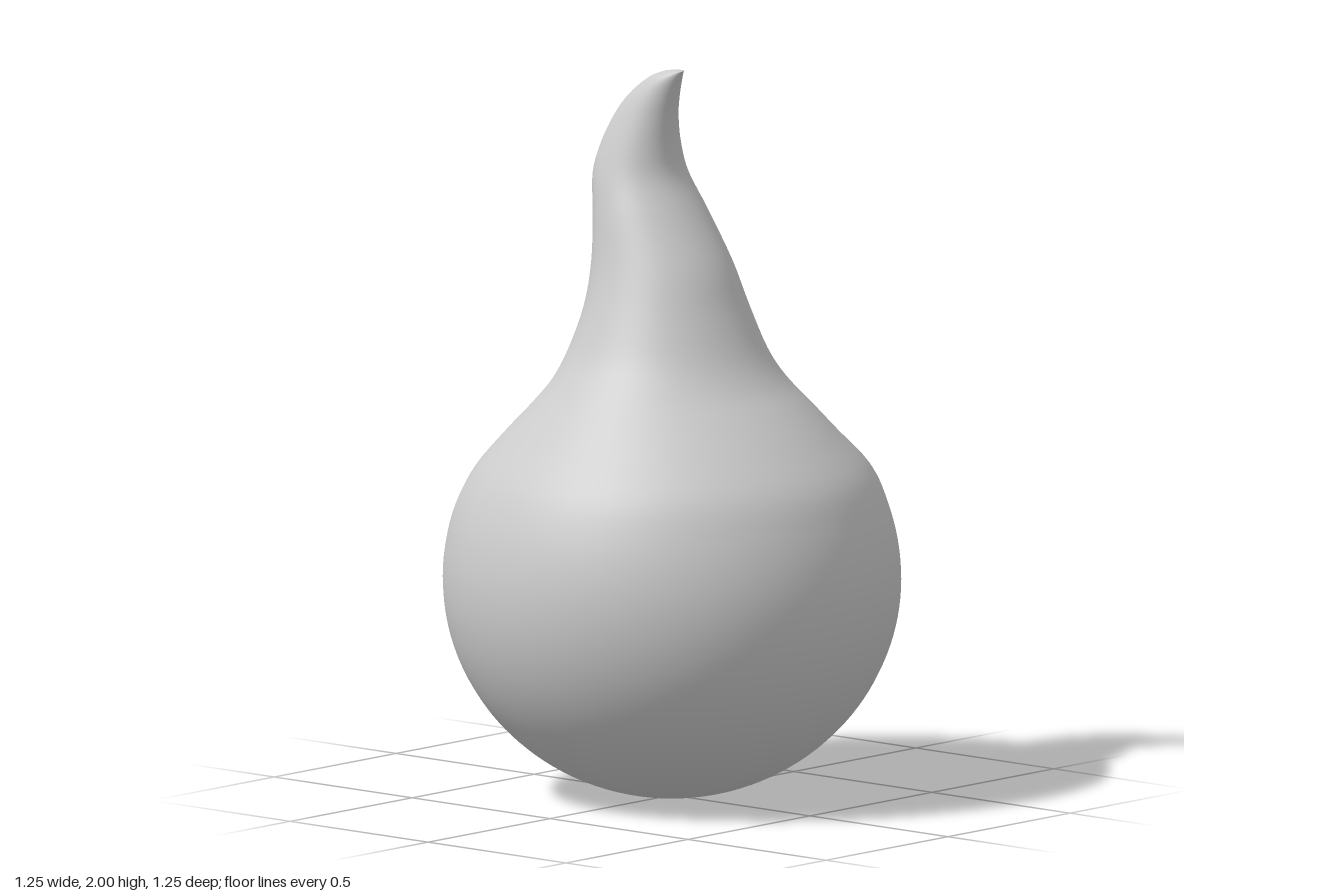
import * as THREE from 'three';

// Neck and horn slices: height, left x, right x, front z, back z
const slices = [
  [0.70, -0.614, 0.614, 0.614, -0.614],
  [0.80, -0.588, 0.588, 0.588, -0.588],
  [0.90, -0.535, 0.545, 0.542, -0.542],
  [1.00, -0.448, 0.462, 0.465, -0.442],
  [1.08, -0.370, 0.385, 0.400, -0.370],
  [1.15, -0.312, 0.315, 0.343, -0.310],
  [1.23, -0.276, 0.260, 0.287, -0.264],
  [1.35, -0.238, 0.204, 0.234, -0.224],
  [1.47, -0.228, 0.152, 0.192, -0.195],
  [1.60, -0.233, 0.070, 0.158, -0.170],
  [1.70, -0.244, 0.010, 0.130, -0.142],
  [1.78, -0.226, -0.005, 0.106, -0.114],
  [1.86, -0.188, -0.002, 0.080, -0.084],
  [1.92, -0.142, 0.010, 0.060, -0.062],
  [1.97, -0.080, 0.026, 0.040, -0.040],
  [1.992, -0.032, 0.036, 0.022, -0.022],
  [2.00, 0.005, 0.043, 0.006, -0.010],
];

// Smooth skin over horizontal slices, each an oval with its own front and back depth
function loft(rows, rings, sides) {
  const spline = (f) => new THREE.CatmullRomCurve3(rows.map(f), false, 'catmullrom', 0.5);
  const widths = spline((r) => new THREE.Vector3(r[1], r[0], r[2]));
  const depths = spline((r) => new THREE.Vector3(r[3], r[0], r[4]));
  const pos = [], index = [];
  for (let i = 0; i <= rings; i++) {
    const w = widths.getPoint(i / rings), d = depths.getPoint(i / rings);
    const cx = (w.x + w.z) / 2, rx = (w.z - w.x) / 2;
    for (let j = 0; j < sides; j++) {
      const a = (j / sides) * Math.PI * 2, s = Math.sin(a);
      pos.push(cx + rx * Math.cos(a), w.y, s > 0 ? s * d.x : -s * d.z);
    }
  }
  for (let i = 0; i < rings; i++) {
    for (let j = 0; j < sides; j++) {
      const a = i * sides + j, b = i * sides + (j + 1) % sides;
      index.push(a, a + sides, b, b, a + sides, b + sides);
    }
  }
  // Close the tip
  const top = pos.length / 3, last = rings * sides;
  pos.push(0.03, 2, 0);
  for (let j = 0; j < sides; j++) index.push(last + j, top, last + (j + 1) % sides);
  const geo = new THREE.BufferGeometry();
  geo.setAttribute('position', new THREE.Float32BufferAttribute(pos, 3));
  geo.setIndex(index);
  geo.computeVertexNormals();
  return geo;
}

export function createModel() {
  const group = new THREE.Group();
  group.name = 'teardrop';
  // Round underside, from the pole up to the widest ring
  const rows = [];
  for (let i = 0; i <= 9; i++) {
    const a = (i / 9) * Math.PI / 2, r = 0.623 * Math.sin(a);
    rows.push([0.6 - 0.6 * Math.cos(a), -r, r, r, -r]);
  }
  rows.push(...slices);
  const material = new THREE.MeshStandardMaterial({ color: 0xcccccc });
  const body = new THREE.Mesh(loft(rows, (rows.length - 1) * 4, 64), material);
  body.name = 'dropletBody';
  group.add(body);
  return group;
}
